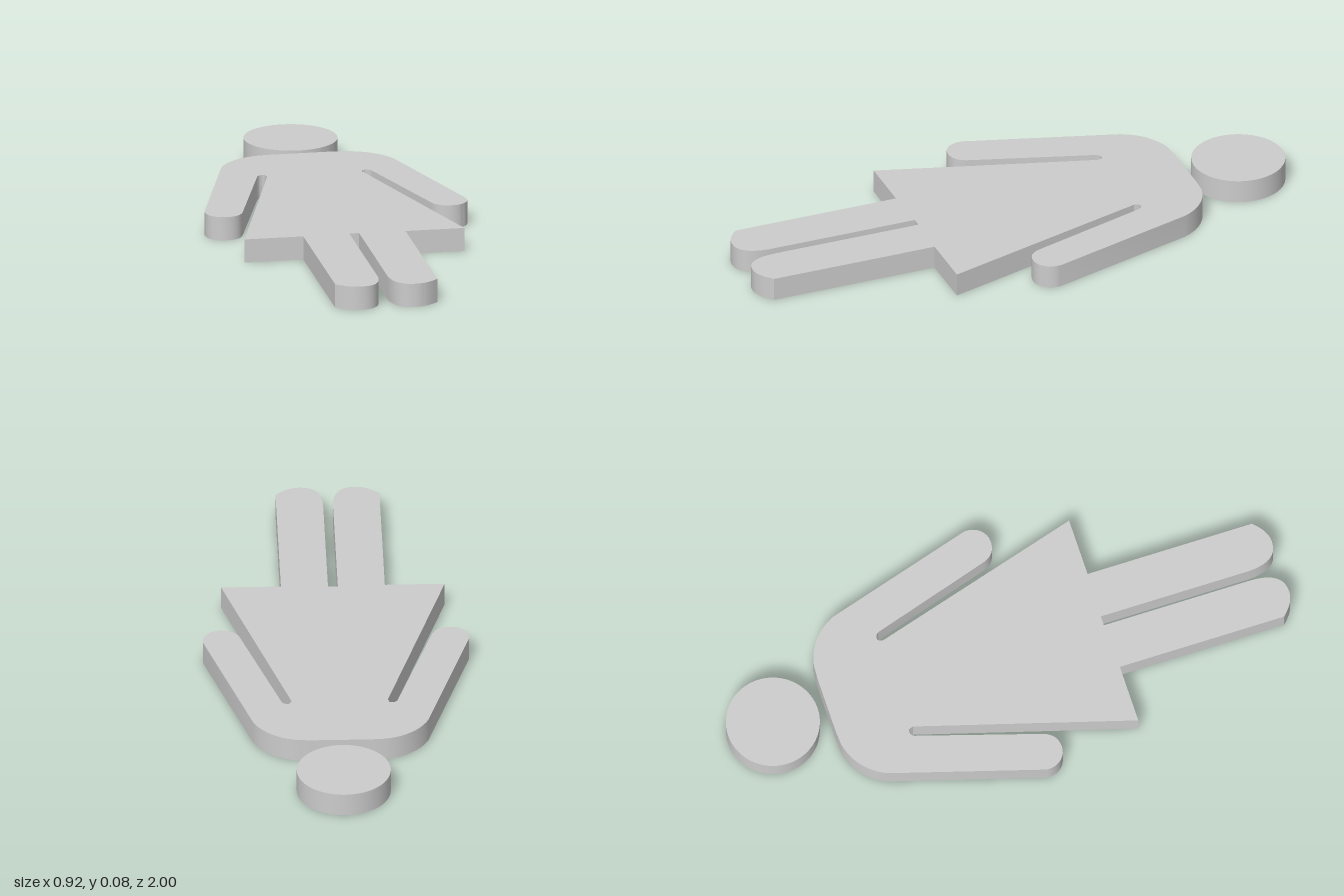
import * as THREE from 'three';
import { toCreasedNormals } from 'three/addons/utils/BufferGeometryUtils.js';

const THICKNESS = 0.083;

export function createModel() {
  const group = new THREE.Group();
  const material = new THREE.MeshStandardMaterial({ color: 0xcccccc });

  // Extrude a flat outline (x, -z) upward into a plate lying on y = 0
  function addPlate(name, shape) {
    const flat = new THREE.ExtrudeGeometry(shape, {
      depth: THICKNESS, bevelEnabled: false, curveSegments: 48,
    });
    flat.rotateX(-Math.PI / 2);
    const mesh = new THREE.Mesh(toCreasedNormals(flat, 0.6), material);
    mesh.name = name;
    group.add(mesh);
  }

  // Head disc
  const head = new THREE.Shape();
  head.absarc(0, 0.838, 0.162, 0, Math.PI * 2);
  addPlate('head', head);

  // Half of the body outline, from the neck down to the crotch
  const half = new THREE.Path();
  half.moveTo(0.1, 0.643);
  half.lineTo(0.15, 0.64);
  half.bezierCurveTo(0.215, 0.63, 0.275, 0.585, 0.302, 0.52); // shoulder
  half.lineTo(0.456, 0.005); // outer arm
  half.bezierCurveTo(0.468, -0.035, 0.44, -0.08, 0.395, -0.08); // hand
  half.bezierCurveTo(0.36, -0.08, 0.338, -0.062, 0.328, -0.025);
  half.lineTo(0.2, 0.39); // inner arm
  half.quadraticCurveTo(0.19, 0.408, 0.172, 0.402); // armpit
  half.lineTo(0.166, 0.385);
  half.lineTo(0.385, -0.36); // dress side
  half.lineTo(0.179, -0.36); // hem
  half.lineTo(0.179, -0.955); // outer leg
  half.bezierCurveTo(0.15, -0.985, 0.125, -1, 0.095, -1); // foot
  half.bezierCurveTo(0.045, -1, 0.02, -0.965, 0.017, -0.89);
  half.lineTo(0.017, -0.355); // inner leg

  const right = half.getPoints(10);
  const left = right.map((p) => new THREE.Vector2(-p.x, p.y)).reverse();
  addPlate('body', new THREE.Shape([...right, ...left]));

  return group;
}
